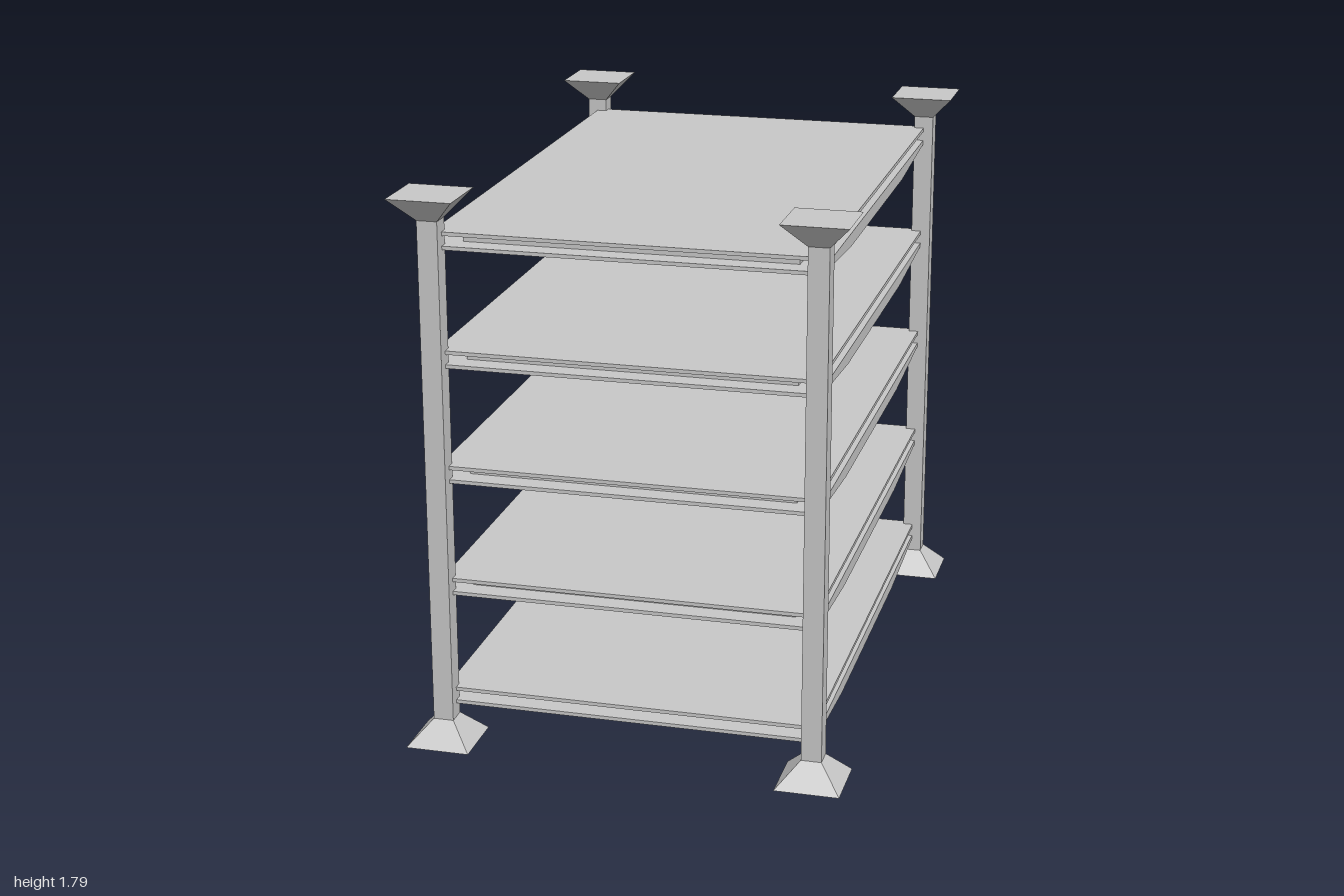
import * as THREE from 'three';

const POST_X = 0.597, POST_Z = 0.897, POST_W = 0.065;
const FLARE_W = 0.206, FLARE_H = 0.078, HEIGHT = 1.79;
const SHELF_X = 0.597, SHELF_Z = 0.893;

export function createModel() {
  const model = new THREE.Group();
  model.name = 'shelvingRack';
  const steel = new THREE.MeshStandardMaterial({ color: 0xc8c8c8, flatShading: true });
  steel.name = 'grey steel';

  const add = (parent, name, geometry, x, y, z) => {
    const mesh = new THREE.Mesh(geometry, steel);
    mesh.name = name;
    mesh.position.set(x, y, z);
    parent.add(mesh);
    return mesh;
  };

  // Square frustum: a four-sided cylinder turned to face the axes
  const frustum = (top, bottom, height) =>
    new THREE.CylinderGeometry(top * Math.SQRT1_2, bottom * Math.SQRT1_2, height, 4).rotateY(Math.PI / 4);

  // Corner posts with flared feet and stacking caps
  const postGeo = new THREE.BoxGeometry(POST_W, HEIGHT - 2 * FLARE_H, POST_W);
  const footGeo = frustum(POST_W, FLARE_W, FLARE_H);
  const capGeo = frustum(FLARE_W, POST_W, FLARE_H);
  for (const sx of [-1, 1]) {
    for (const sz of [-1, 1]) {
      const corner = new THREE.Group();
      corner.name = (sz > 0 ? 'front' : 'back') + (sx > 0 ? 'Left' : 'Right') + 'Post';
      corner.position.set(sx * POST_X, 0, sz * POST_Z);
      add(corner, 'post', postGeo, 0, HEIGHT / 2, 0);
      add(corner, 'foot', footGeo, 0, FLARE_H / 2, 0);
      add(corner, 'cap', capGeo, 0, HEIGHT - FLARE_H / 2, 0);
      model.add(corner);
    }
  }

  // Lower tray: side profile with a belly sloping up to the front and back
  const profile = new THREE.Shape([
    [-SHELF_Z, 0.042], [-SHELF_Z, 0.03], [-0.45, 0], [0.45, 0], [SHELF_Z, 0.03], [SHELF_Z, 0.042],
  ].map(([z, y]) => new THREE.Vector2(z, y)));
  const trayGeo = new THREE.ExtrudeGeometry(profile, { depth: 2 * SHELF_X, bevelEnabled: false });
  trayGeo.translate(0, 0, -SHELF_X).rotateY(Math.PI / 2);

  const coreGeo = new THREE.BoxGeometry(1.04, 0.034, 1.65);
  const deckGeo = new THREE.BoxGeometry(2 * SHELF_X, 0.012, 2 * SHELF_Z);

  // Five shelves, each a tray, an inset core and a deck
  for (let i = 0; i < 5; i++) {
    const shelf = new THREE.Group();
    shelf.name = 'shelf' + (i + 1);
    shelf.position.y = 0.092 + i * 0.3735;
    add(shelf, 'tray', trayGeo, 0, 0, 0);
    add(shelf, 'core', coreGeo, 0, 0.058, 0);
    add(shelf, 'deck', deckGeo, 0, 0.08, 0);
    model.add(shelf);
  }
  return model;
}
